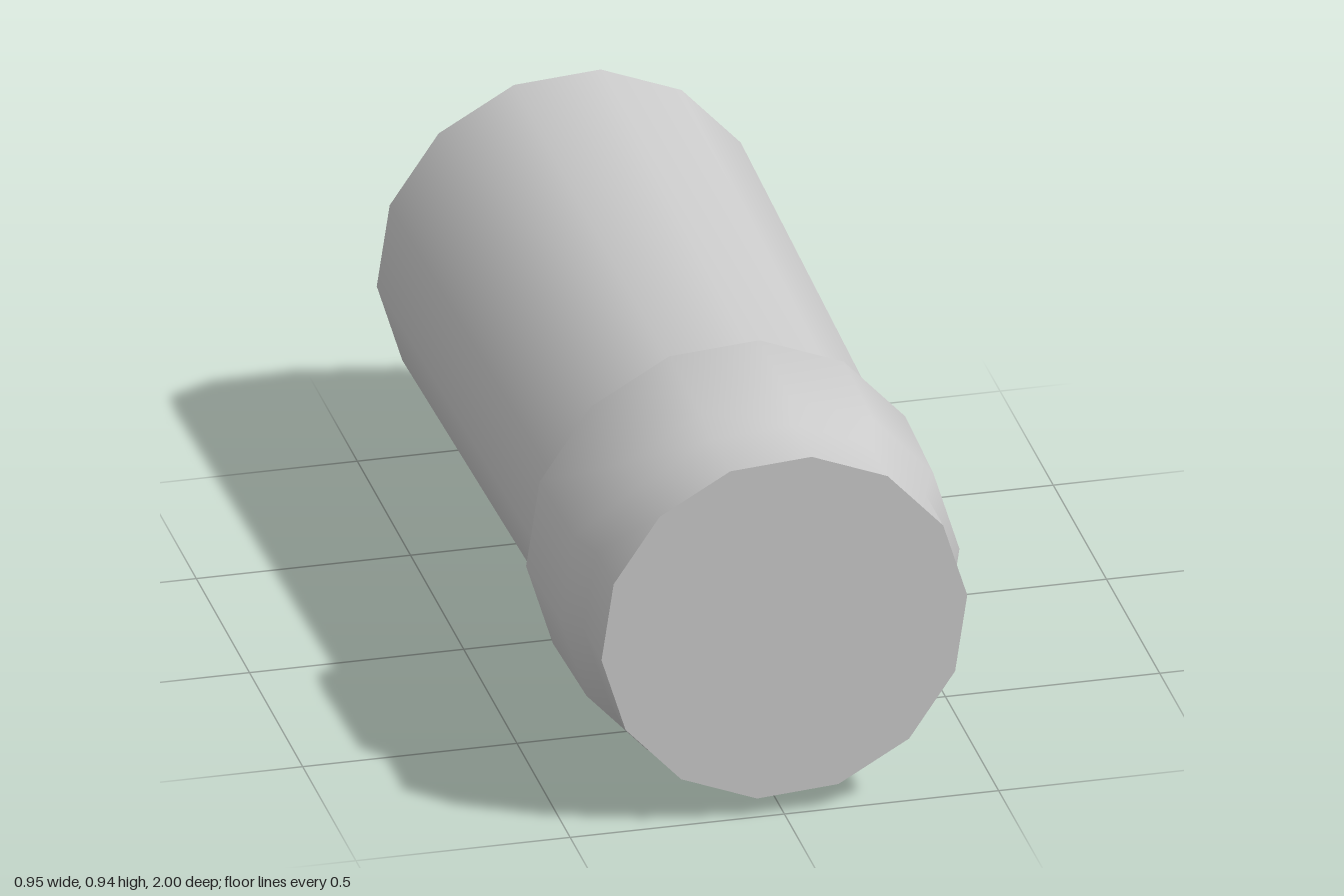
import * as THREE from 'three';

const SIDES = 14;
const TILT = THREE.MathUtils.degToRad(4.3); // angle of the first corner
const CENTRE_Y = 0.472;

// [radius, z] from back to front
const PROFILE = [
  [0.456, -1], [0.428, 0.43], [0.475, 0.48],
  [0.467, 0.77], [0.428, 0.83], [0.428, 1],
];

export function createModel() {
  const group = new THREE.Group();
  group.name = 'collaredTube';
  const material = new THREE.MeshStandardMaterial({ color: 0xcccccc });

  const add = (name, geometry) => {
    const mesh = new THREE.Mesh(geometry, material);
    mesh.name = name;
    mesh.position.y = CENTRE_Y;
    group.add(mesh);
    return mesh;
  };

  // Tapered barrel with a raised collar, turned to lie along z
  const points = PROFILE.map(([r, z]) => new THREE.Vector2(r, z));
  const body = new THREE.LatheGeometry(points, SIDES, TILT + Math.PI / 2);
  body.rotateX(Math.PI / 2);
  add('barrel', body);

  // Flat end caps
  const [backRadius, backZ] = PROFILE[0];
  const [frontRadius, frontZ] = PROFILE[PROFILE.length - 1];
  add('frontCap', new THREE.CircleGeometry(frontRadius, SIDES, TILT)).position.z = frontZ;
  const back = new THREE.CircleGeometry(backRadius, SIDES, Math.PI - TILT);
  add('backCap', back.rotateY(Math.PI)).position.z = backZ;

  return group;
}
